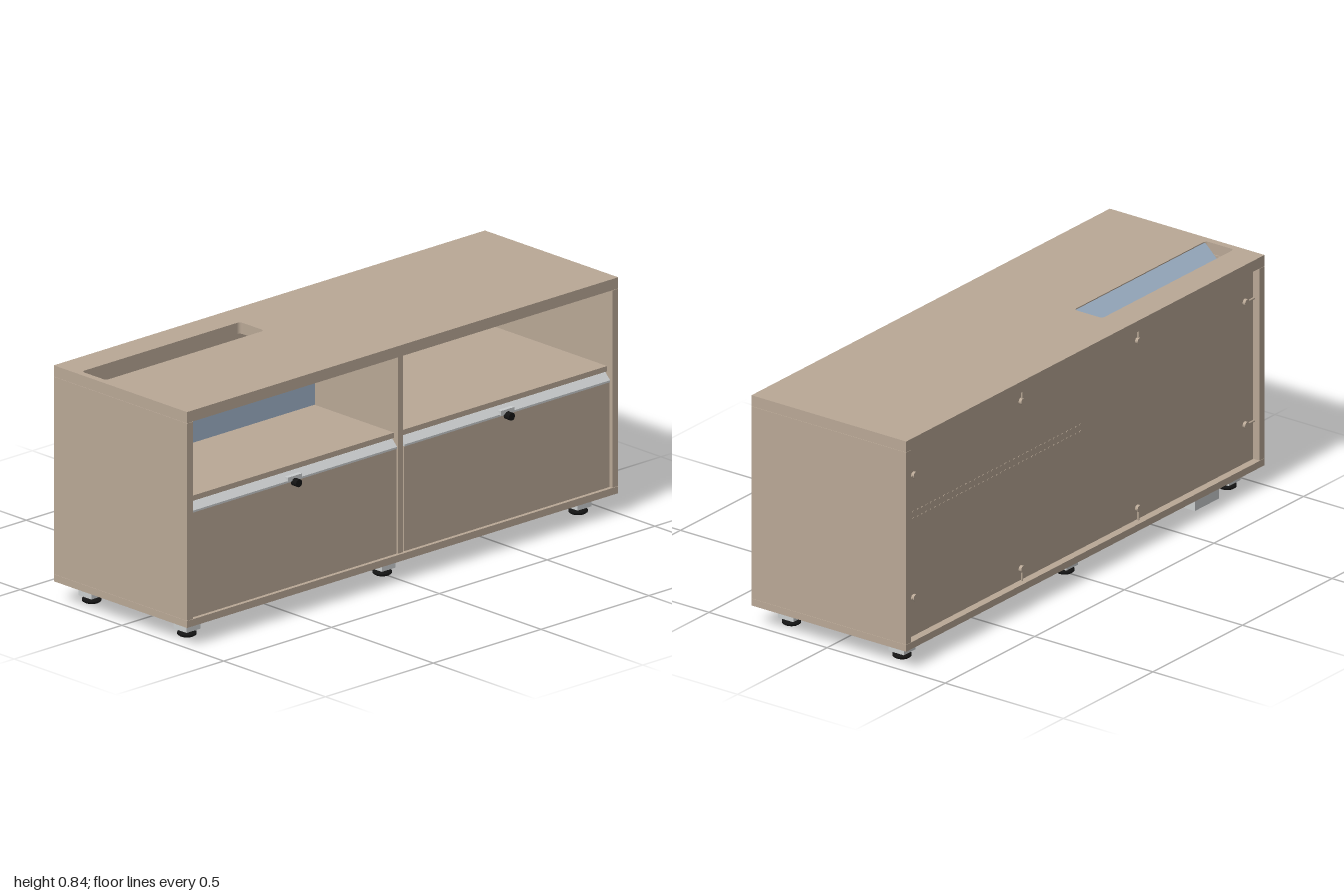
import * as THREE from 'three';

const material = (name, color, side = THREE.FrontSide) => {
  const m = new THREE.MeshStandardMaterial({ color, side });
  m.name = name;
  return m;
};

export function createModel() {
  const group = new THREE.Group();
  const wood = material('beige board', 0xb9a896);
  const blue = material('blue sheet', 0x9fb3c9, THREE.DoubleSide);
  const metal = material('light grey metal', 0xcbcecf);
  const black = material('black', 0x141414);

  const add = (name, geometry, mat) => {
    const mesh = new THREE.Mesh(geometry, mat);
    mesh.name = name;
    group.add(mesh);
    return mesh;
  };
  // Box given by its limits on each axis
  const box = (name, mat, x0, x1, y0, y1, z0, z1) => {
    const mesh = add(name, new THREE.BoxGeometry(x1 - x0, y1 - y0, z1 - z0), mat);
    mesh.position.set((x0 + x1) / 2, (y0 + y1) / 2, (z0 + z1) / 2);
    return mesh;
  };
  // Profile of [z, y] points drawn out along x
  const alongX = (name, mat, points, x0, x1) => {
    const shape = new THREE.Shape(points.map(([z, y]) => new THREE.Vector2(-z, y)));
    const geometry = new THREE.ExtrudeGeometry(shape, { depth: x1 - x0, bevelEnabled: false });
    const mesh = add(name, geometry, mat);
    mesh.rotation.y = Math.PI / 2;
    mesh.position.x = x0;
    return mesh;
  };

  const FRONT = 0.32, BACK = -0.335;

  // Top board with a rounded cable slot
  const board = new THREE.Shape();
  board.moveTo(-1, -FRONT).lineTo(1, -FRONT).lineTo(1, -BACK).lineTo(-1, -BACK).closePath();
  const slot = new THREE.Path();
  const [sx0, sx1, sy0, sy1, r] = [-0.975, -0.24, 0.105, 0.225, 0.014];
  slot.absarc(sx0 + r, sy0 + r, r, 1.5 * Math.PI, Math.PI, true);
  slot.absarc(sx0 + r, sy1 - r, r, Math.PI, 0.5 * Math.PI, true);
  slot.absarc(sx1 - r, sy1 - r, r, 0.5 * Math.PI, 0, true);
  slot.absarc(sx1 - r, sy0 + r, r, 0, -0.5 * Math.PI, true);
  board.holes.push(slot);
  const top = add('topBoard',
    new THREE.ExtrudeGeometry(board, { depth: 0.04, bevelEnabled: false, curveSegments: 6 }), wood);
  top.rotation.x = -Math.PI / 2;
  top.position.y = 0.804;

  // Carcass
  box('bottomBoard', wood, -1, 1, 0.072, 0.097, BACK, FRONT);
  for (const s of [-1, 1]) box('sidePanel', wood, s * 0.9865 - 0.0135, s * 0.9865 + 0.0135, 0.098, 0.803, BACK, FRONT);
  box('divider', wood, -0.015, 0.01, 0.098, 0.803, -0.29, 0.312);
  box('backPanel', wood, -0.972, 0.972, 0.098, 0.787, -0.308, -0.293);

  // Sloping flap under the slot and the blue sheet behind the left bay
  alongX('cableFlap', blue,
    [[-0.106, 0.841], [-0.106, 0.835], [-0.2, 0.742], [-0.206, 0.746]], sx0 + 0.005, sx1 - 0.002);
  box('bayBackSheet', blue, -0.972, -0.016, 0.528, 0.742, -0.1, -0.094);
  box('bayBackRail', blue, -0.972, -0.016, 0.742, 0.803, -0.1, -0.088);

  // Two bays: shelf, door, sloping grip strip and lock
  for (const [x0, x1, lockX] of [[-0.972, -0.016, -0.497], [0.011, 0.972, 0.49]]) {
    box('shelf', wood, x0, x1, 0.508, 0.527, -0.293, 0.295);
    box('door', wood, x0 + 0.004, x1 - 0.004, 0.1, 0.475, 0.29, 0.312);
    alongX('gripStrip', metal,
      [[0.314, 0.475], [0.314, 0.482], [0.291, 0.505], [0.284, 0.505], [0.284, 0.475]], x0 + 0.004, x1 - 0.004);
    box('lockPlate', metal, lockX - 0.032, lockX + 0.032, 0.479, 0.495, 0.3, 0.317);
    const lock = add('lockKnob', new THREE.CylinderGeometry(0.014, 0.014, 0.028, 20), black);
    lock.rotation.x = Math.PI / 2;
    lock.position.set(lockX, 0.473, 0.324);
  }

  // Back panel fixings: a stud and a peg towards the nearest edge
  const fixing = (x, y, dx, dy) => {
    const stud = add('backFixing', new THREE.CylinderGeometry(0.012, 0.012, 0.012, 14), wood);
    stud.rotation.x = Math.PI / 2;
    stud.position.set(x, y, -0.313);
    const peg = add('backPeg', new THREE.CylinderGeometry(0.004, 0.004, 0.045, 8), wood);
    if (dx) peg.rotation.z = Math.PI / 2;
    peg.position.set(x + dx * 0.023, y + dy * 0.023, -0.313);
  };
  for (const s of [-1, 1]) {
    for (const y of [0.24, 0.69]) fixing(s * 0.925, y, s, 0);
    fixing(s * 0.325, 0.755, 0, 1);
    fixing(s * 0.325, 0.14, 0, -1);
  }

  // Two rows of small vents on the back
  for (let i = 0; i < 40; i++) {
    const x = 0.95 - i * 0.0245;
    for (const y of [0.53, 0.555]) box('backVent', wood, x - 0.004, x + 0.004, y - 0.002, y + 0.002, -0.31, -0.307);
  }

  // Six adjustable feet with mounting plates
  const footProfile = [[0, 0], [0.026, 0], [0.033, 0.005], [0.033, 0.012], [0.022, 0.017], [0.007, 0.019], [0.007, 0.026], [0, 0.026]]
    .map(([x, y]) => new THREE.Vector2(x, y));
  for (const x of [-0.908, -0.002, 0.906]) {
    for (const z of [0.222, -0.246]) {
      box('footPlate', blue, x - 0.07, x + 0.07, 0.069, 0.072, z - 0.07, z + 0.07);
      box('footBlock', metal, x - 0.032, x + 0.032, 0.023, 0.07, z - 0.032, z + 0.032);
      add('footPad', new THREE.LatheGeometry(footProfile, 24), black).position.set(x, 0, z);
    }
  }

  // Cable outlet box under the rear
  box('outletBox', metal, -0.805, -0.67, 0.005, 0.072, -0.29, -0.235);

  return group;
}
